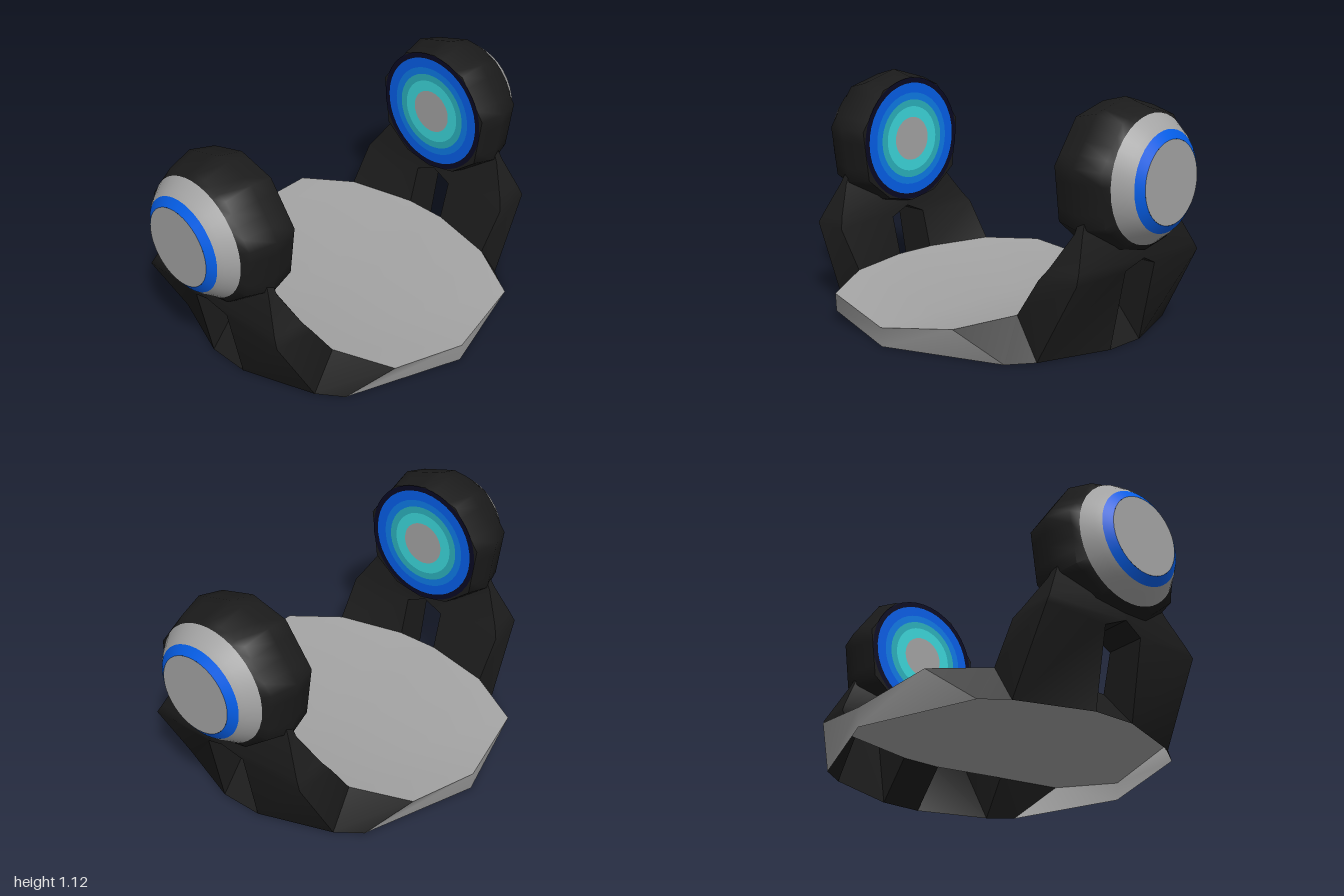
import * as THREE from 'three';
import { toCreasedNormals } from 'three/addons/utils/BufferGeometryUtils.js';

const paint = (name, color, side = THREE.FrontSide) => {
  const m = new THREE.MeshStandardMaterial({ color, side });
  m.name = name;
  return m;
};

// Skin a row of cross-sections; each row is a list of [x, y, z] points.
function skin(rows, { closed = false, capStart = false, crease = 0.9 } = {}) {
  const n = rows[0].length;
  const index = [];
  for (let r = 0; r < rows.length - 1; r++) {
    for (let i = 0; i < (closed ? n : n - 1); i++) {
      const j = (i + 1) % n;
      const a = r * n + i, b = r * n + j;
      index.push(a, b, b + n, a, b + n, a + n);
    }
  }
  for (let i = 1; capStart && i < n - 1; i++) index.push(0, i + 1, i);
  const g = new THREE.BufferGeometry();
  g.setAttribute('position', new THREE.Float32BufferAttribute(rows.flat(2), 3));
  g.setIndex(index);
  return toCreasedNormals(g, crease);
}

export function createModel() {
  const black = paint('black shell', 0x1b1b1b, THREE.DoubleSide);
  const grey = paint('grey panel', 0xa3a3a3, THREE.DoubleSide);
  const blue = paint('blue trim', 0x0560ec);
  const navy = paint('navy rim', 0x080822);
  const azure = paint('azure ring', 0x0d7ae6);
  const teal = paint('teal ring', 0x2bb0bc);
  const cyan = paint('cyan ring', 0x3cd6da);

  const model = new THREE.Group();
  model.name = 'model';
  const add = (parent, name, geometry, material) => {
    const mesh = new THREE.Mesh(geometry, material);
    mesh.name = name;
    parent.add(mesh);
    return mesh;
  };

  // Upper and lower rims along the +x side, from front to back
  const rim = [[0.39, 0.155, 0.712], [0.525, 0.188, 0.45], [0.605, 0.19, 0.105]];
  const foot = [[0.56, 0, 0.57], [0.645, 0, 0.455], [0.77, 0, 0.105]];
  const flipX = ([x, y, z]) => [-x, y, z];
  const flipZ = ([x, y, z]) => [x, y, -z];

  // Shallow open-bottomed plate, creased gently down the middle
  const rightEdge = [...rim.map(flipZ), ...[...rim].reverse()];
  const middle = [-0.775, -0.45, -0.105, 0.105, 0.45, 0.775].map((z) => [0, 0.09, z]);
  add(model, 'plateTop', skin([rightEdge.map(flipX), middle, rightEdge]), grey);

  // Sloping front and back walls
  const frontWall = skin([
    [flipX(foot[0]), [0, 0, 0.77], foot[0]],
    [flipX(rim[0]), [0, 0.09, 0.775], rim[0]],
  ]);
  add(model, 'frontWall', frontWall, grey);
  add(model, 'backWall', frontWall, grey).rotation.y = Math.PI;

  // Hollow leg growing out of the rims; corners run outer front, outer gap, inner gap, inner front
  const legLoops = [
    [foot[1], foot[2], rim[2], rim[1]],
    [[0.845, 0.375, 0.437], [0.845, 0.375, 0.105], [0.655, 0.375, 0.105], [0.648, 0.37, 0.452]],
    [[0.835, 0.42, 0.412], [0.865, 0.42, 0], [0.66, 0.42, 0], [0.68, 0.42, 0.422]],
    [[0.79, 0.565, 0.335], [0.85, 0.565, 0], [0.66, 0.565, 0], [0.745, 0.565, 0.335]],
    [[0.77, 0.66, 0.29], [0.8, 0.66, 0], [0.7, 0.66, 0], [0.75, 0.66, 0.29]],
  ];
  const frontLeg = skin(legLoops, { closed: true, crease: 1.0 });
  const backLeg = skin(legLoops.map((l) => l.map(flipZ).reverse()), { closed: true, crease: 1.0 });

  // Ten-cornered pod outline as [degrees, radius], each edge cut in four
  const right = [[90, 0.345], [55, 0.352], [12, 0.362], [-32, 0.375], [-62, 0.36]];
  const corners = [...right, [-90, 0.352], ...right.slice(1).reverse().map(([a, r]) => [180 - a, r])]
    .reverse().map(([a, r]) => {
      const t = THREE.MathUtils.degToRad(a);
      return new THREE.Vector2(Math.cos(t) * r, Math.sin(t) * r);
    });
  const podOutline = corners.flatMap((c, i) =>
    [0, 0.25, 0.5, 0.75].map((t) => c.clone().lerp(corners[(i + 1) % corners.length], t)));
  const centreY = 0.775;
  const polyRing = (x, k) => podOutline.map((p) => [x, centreY + p.y * k, -p.x * k]);
  const roundRing = (x, radius) => podOutline.map((p) => {
    const k = radius / p.length();
    return [x, centreY + p.y * k, -p.x * k];
  });
  const band = (rings, capStart = false) => skin(rings, { closed: true, capStart });

  for (const [name, turn] of [['leftSide', 0], ['rightSide', Math.PI]]) {
    const side = new THREE.Group();
    side.name = name;
    side.rotation.y = turn;
    model.add(side);

    // Dark walls beside and between the legs
    add(side, 'frontCornerWall', skin([[foot[0], foot[1]], [rim[0], rim[1]]]), black);
    add(side, 'gapWall', skin([[foot[2], flipZ(foot[2])], [rim[2], flipZ(rim[2])]]), black);
    add(side, 'backCornerWall', skin([
      [flipZ(foot[1]), flipZ(foot[0])], [flipZ(rim[1]), flipZ(rim[0])],
    ]), black);
    add(side, 'frontLeg', frontLeg, black);
    add(side, 'backLeg', backLeg, black);

    // Round pod with a stepped outer cap
    add(side, 'podShell', band([
      polyRing(0.62, 0.91), polyRing(0.745, 1), polyRing(0.87, 0.9), roundRing(0.897, 0.288),
    ], true), black);
    add(side, 'podCap', band([
      roundRing(0.897, 0.288), roundRing(0.95, 0.248), roundRing(0.972, 0.226),
    ]), grey);
    add(side, 'podTrim', band([roundRing(0.972, 0.226), roundRing(1, 0.187)]), blue);
    const disc = new THREE.CircleGeometry(0.187, 40).rotateY(Math.PI / 2);
    add(side, 'podDisc', disc, grey).position.set(1, centreY, 0);

    // Concentric rings on the inner face
    const rings = [[grey, 0.11], [cyan, 0.165], [teal, 0.2], [azure, 0.235], [blue, 0.285], [navy, 0.312]];
    rings.forEach(([material, outer], i) => {
      const g = i ? new THREE.RingGeometry(rings[i - 1][1], outer, 40) : new THREE.CircleGeometry(outer, 40);
      add(side, 'innerRing' + (i + 1), g.rotateY(-Math.PI / 2), material).position.set(0.617, centreY, 0);
    });
  }
  return model;
}
